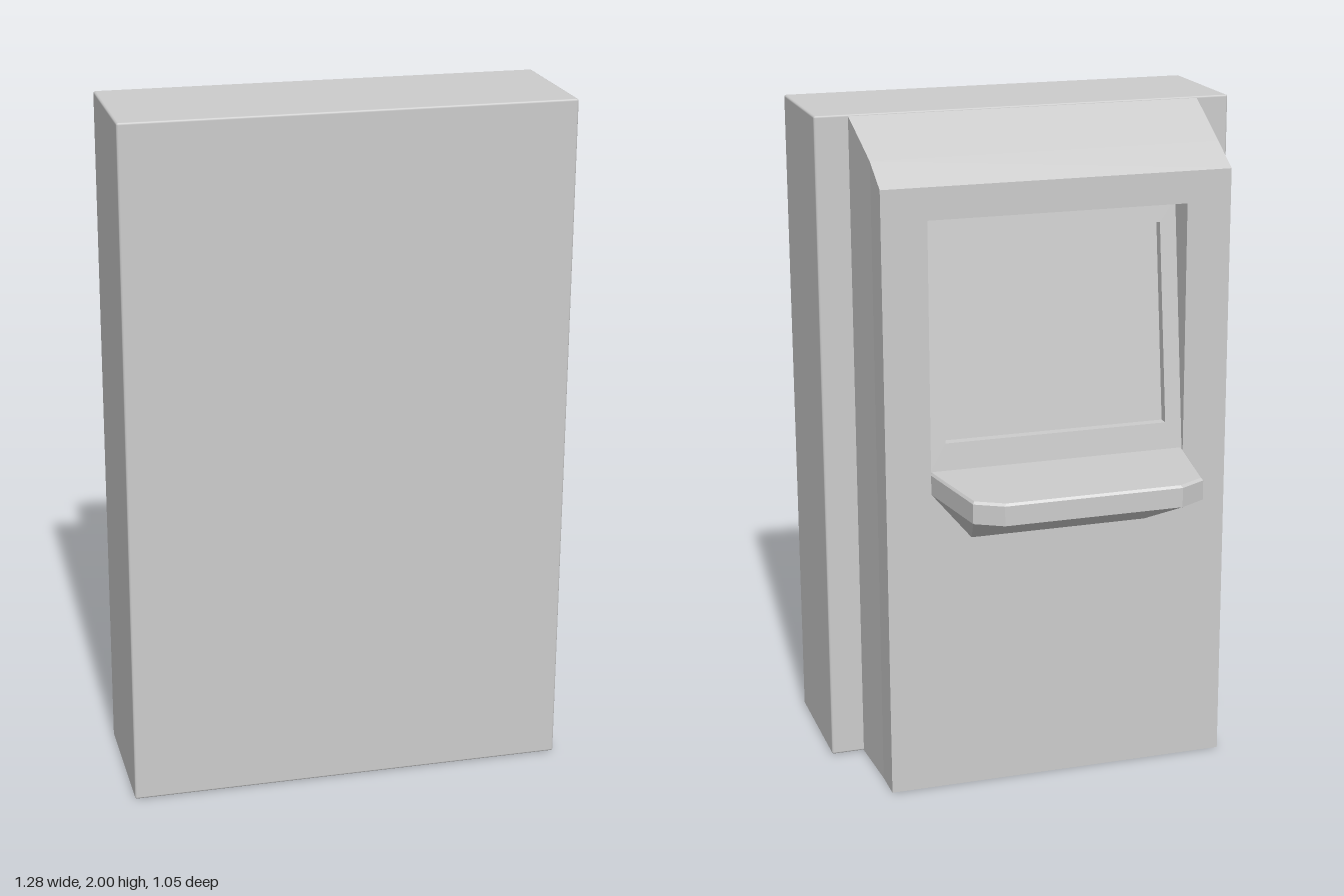
import * as THREE from 'three';
import { RoundedBoxGeometry } from 'three/addons/geometries/RoundedBoxGeometry.js';
import { ConvexGeometry } from 'three/addons/geometries/ConvexGeometry.js';

const material = new THREE.MeshStandardMaterial({ color: 0xcccccc });

function rectangle(path, x, y0, y1) {
  path.moveTo(-x, y0);
  path.lineTo(x, y0);
  path.lineTo(x, y1);
  path.lineTo(-x, y1);
  path.closePath();
  return path;
}

// Moves every vertex of a geometry by a rule and refreshes its normals.
function reshape(geometry, rule) {
  const p = geometry.attributes.position;
  const v = new THREE.Vector3();
  for (let i = 0; i < p.count; i++) {
    v.fromBufferAttribute(p, i);
    rule(v);
    p.setXYZ(i, v.x, v.y, v.z);
  }
  geometry.computeVertexNormals();
  return geometry;
}

export function createModel() {
  const group = new THREE.Group();
  const add = (name, geometry) => {
    const mesh = new THREE.Mesh(geometry, material);
    mesh.name = name;
    group.add(mesh);
    return mesh;
  };

  // Plain deep cabinet with slightly softened edges
  add('cabinet', new RoundedBoxGeometry(1.276, 2, 0.41, 1, 0.006)).position.set(0, 1, 0.32);

  // Narrower housing with a screen opening, sloping roof and flared sides
  const face = rectangle(new THREE.Shape(), 0.525, 0, 2);
  face.holes.push(rectangle(new THREE.Path(), 0.39, 0.995, 1.745));
  const housing = new THREE.ExtrudeGeometry(face, { depth: 0.32, steps: 3, bevelEnabled: false });
  const roof = new THREE.CatmullRomCurve3([
    new THREE.Vector3(0, 1.84, -0.2), new THREE.Vector3(0, 1.905, -0.09), new THREE.Vector3(0, 1.997, 0.12),
  ]);
  add('housing', reshape(housing, (v) => {
    const t = v.z / 0.32;
    v.z -= 0.2;
    if (v.y > 1.9) v.y = roof.getPointAt(t).y;
    if (Math.abs(v.x) > 0.5) v.x += Math.sign(v.x) * 0.012 * Math.max(0, t - 0.3) / 0.7;
  }));

  // Screen surround and screen lean back towards the top of the opening
  const lean = (v) => { v.z += -0.19 + 0.12 * (v.y - 1); };
  const surround = rectangle(new THREE.Shape(), 0.395, 0.99, 1.75);
  surround.holes.push(rectangle(new THREE.Path(), 0.34, 1.08, 1.675));
  add('screenSurround', reshape(
    new THREE.ExtrudeGeometry(surround, { depth: 0.06, bevelEnabled: false }), lean));
  const screen = rectangle(new THREE.Shape(), 0.35, 1.07, 1.685);
  add('screen', reshape(
    new THREE.ExtrudeGeometry(screen, { depth: 0.02, bevelEnabled: false }).translate(0, 0, 0.03), lean));

  // Shelf with clipped corners, a softened rim and a tapering underside
  const outline = [[0.39, -0.19], [0.39, -0.2], [0.345, -0.48], [0.265, -0.525]];
  const points = [];
  for (const side of [-1, 1]) {
    for (const [x, z] of outline) {
      points.push(new THREE.Vector3(side * (x - 0.005), 1, z < -0.2 ? z + 0.006 : z));
      points.push(new THREE.Vector3(side * x, 0.993, z));
      points.push(new THREE.Vector3(side * x, 0.935, z));
    }
    points.push(new THREE.Vector3(side * 0.255, 0.928, -0.512));
    points.push(new THREE.Vector3(side * 0.27, 0.79, -0.2));
    points.push(new THREE.Vector3(side * 0.27, 0.79, -0.19));
  }
  add('shelf', new ConvexGeometry(points));

  return group;
}
